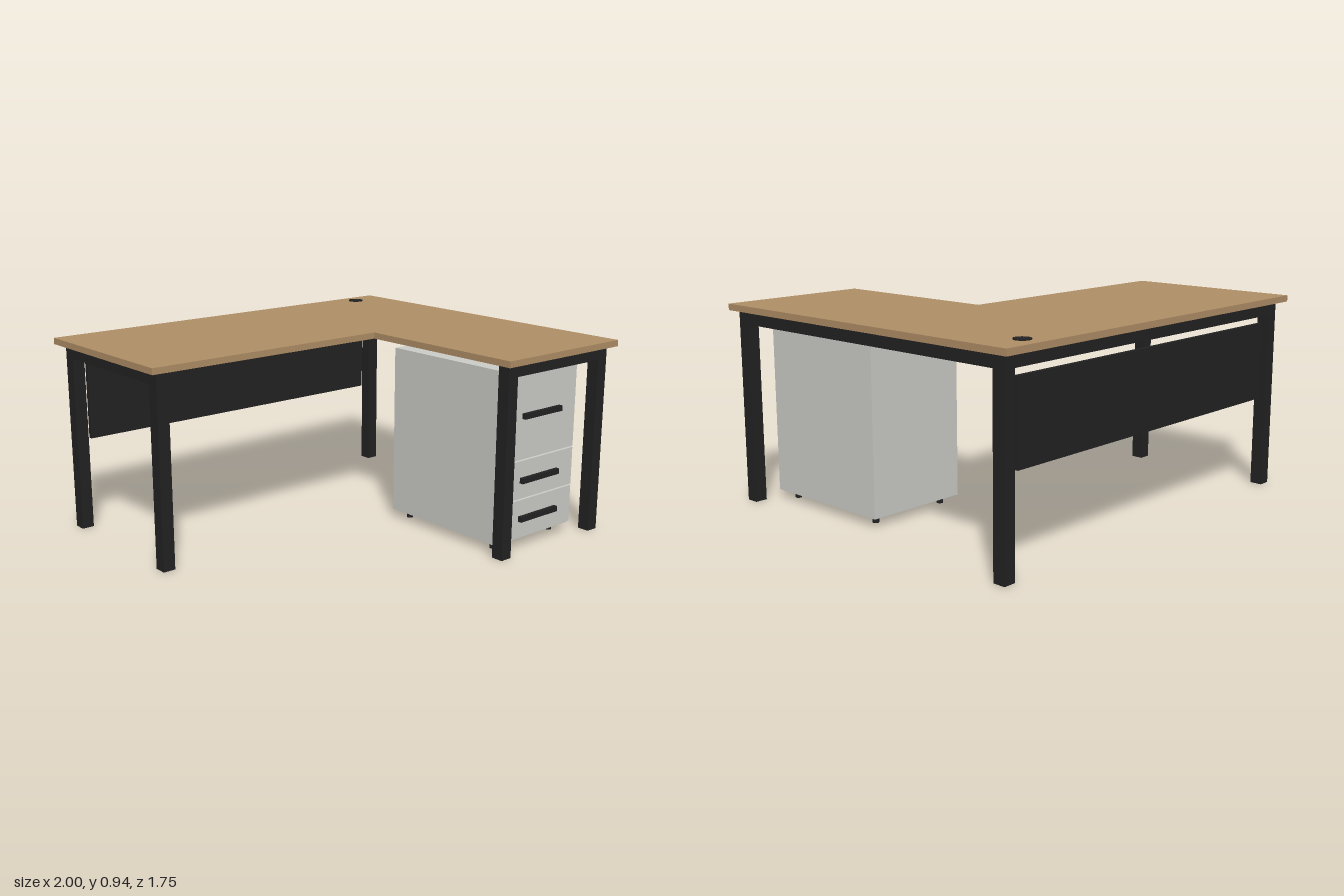
import * as THREE from 'three';

export function createModel() {
  const group = new THREE.Group();
  group.name = 'cornerDesk';

  const material = (name, color) => {
    const m = new THREE.MeshStandardMaterial({ color });
    m.name = name;
    return m;
  };
  const wood = material('wood', 0xb08f66);
  const black = material('blackMetal', 0x222222);
  const grey = material('lightGrey', 0xcdcdc9);

  const add = (name, geometry, mat, parent = group) => {
    const mesh = new THREE.Mesh(geometry, mat);
    mesh.name = name;
    parent.add(mesh);
    return mesh;
  };
  // Box given by its two extremes on each axis
  const box = (name, [x0, x1], [y0, y1], [z0, z1], mat, parent) => {
    const mesh = add(name, new THREE.BoxGeometry(x1 - x0, y1 - y0, z1 - z0), mat, parent);
    mesh.position.set((x0 + x1) / 2, (y0 + y1) / 2, (z0 + z1) / 2);
    return mesh;
  };

  // L-shaped desktop, outlined in x and -z
  const outline = new THREE.Shape(
    [[-1, 0], [0.25, 0], [0.25, -0.875], [1, -0.875], [1, 0.875], [-1, 0.875]]
      .map(([x, y]) => new THREE.Vector2(x, y))
  );
  const slab = new THREE.ExtrudeGeometry(outline, { depth: 0.03, bevelEnabled: false });
  slab.rotateX(-Math.PI / 2);
  add('desktop', slab, wood).position.y = 0.91;

  // Cable grommet
  add('cableGrommet', new THREE.CylinderGeometry(0.038, 0.038, 0.006, 32), black)
    .position.set(0.81, 0.942, -0.78);

  // Five square legs
  const h = 0.03;
  const legs = [[-0.93, -0.805], [0.94, -0.805], [-0.93, -0.068], [0.32, 0.805], [0.94, 0.805]];
  for (const [x, z] of legs) box('leg', [x - h, x + h], [0, 0.91], [z - h, z + h], black);

  // Rails between the legs
  const railY = [0.85, 0.91];
  box('backRail', [-0.9, 0.91], railY, [-0.835, -0.775], black);
  box('leftRail', [-0.96, -0.9], railY, [-0.775, -0.098], black);
  box('rightRail', [0.91, 0.97], railY, [-0.775, 0.775], black);
  box('frontRail', [0.35, 0.91], railY, [0.775, 0.835], black);

  // Modesty panel
  box('modestyPanel', [-0.875, 0.872], [0.44, 0.812], [-0.815, -0.795], black);

  // Drawer cabinet
  const cabinet = new THREE.Group();
  cabinet.name = 'drawerCabinet';
  group.add(cabinet);
  box('cabinetBody', [0.33, 0.845], [0.04, 0.865], [0.065, 0.755], grey, cabinet);
  const drawers = [[0.055, 0.238, 0.148], [0.245, 0.428, 0.335], [0.435, 0.85, 0.642]];
  for (const [y0, y1, handleY] of drawers) {
    box('drawerFront', [0.345, 0.83], [y0, y1], [0.755, 0.776], grey, cabinet);
    box('drawerHandle', [0.46, 0.715], [handleY - 0.013, handleY + 0.013], [0.776, 0.796], black, cabinet);
  }
  for (const x of [0.387, 0.785]) {
    for (const z of [0.128, 0.69]) {
      add('cabinetFoot', new THREE.CylinderGeometry(0.015, 0.015, 0.04, 16), black, cabinet)
        .position.set(x, 0.02, z);
    }
  }

  return group;
}
